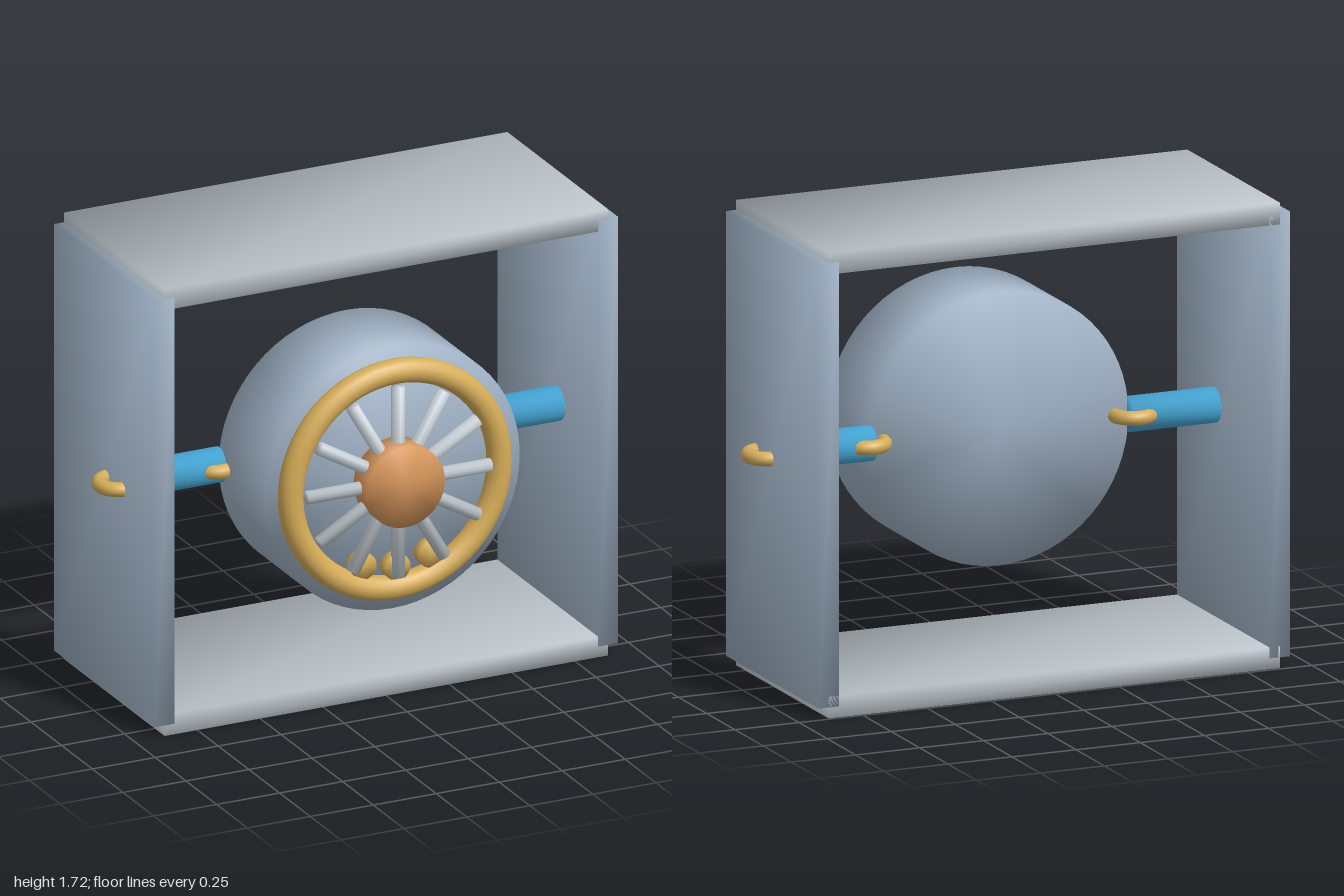
import * as THREE from 'three';
import { toCreasedNormals } from 'three/addons/utils/BufferGeometryUtils.js';

const paint = (name, color) => {
  const m = new THREE.MeshStandardMaterial({ color });
  m.name = name;
  return m;
};

export function createModel() {
  const steel = paint('blue grey steel', 0x9fb1c4);
  const silver = paint('pale silver', 0xc3ccd2);
  const brass = paint('brass', 0xd6ad58);
  const copper = paint('copper', 0xd6965c);
  const blue = paint('bright blue', 0x45a6d6);

  const model = new THREE.Group();
  const CY = 0.865;

  const add = (name, geometry, material, x, y, z, parent = model) => {
    const mesh = new THREE.Mesh(geometry, material);
    mesh.name = name;
    mesh.position.set(x, y, z);
    parent.add(mesh);
    return mesh;
  };
  // Normals shared across every edge give the soft shading of the solid parts
  const soft = (g) => toCreasedNormals(g, Math.PI);
  const disc = (r, depth, sides) =>
    soft(new THREE.CylinderGeometry(r, r, depth, sides).rotateX(Math.PI / 2));

  // Square frame, open at front and back
  const flat = soft(new THREE.BoxGeometry(1.76, 0.08, 0.82));
  const upright = soft(new THREE.BoxGeometry(0.08, 1.64, 0.82));
  add('topPanel', flat, silver, 0, 1.682, -0.08);
  add('bottomPanel', flat, silver, 0, 0.045, -0.08);
  add('leftPanel', upright, steel, 0.88, CY, -0.08);
  add('rightPanel', upright, steel, -0.88, CY, -0.08);

  // Drum carried in the middle of the frame
  add('drum', disc(0.505, 0.38, 64), steel, 0, CY, 0.19);

  // Axle rods with a ring at each end
  const rod = soft(new THREE.CylinderGeometry(0.065, 0.065, 0.38, 24).rotateZ(Math.PI / 2));
  const ring = new THREE.TorusGeometry(0.068, 0.027, 12, 32).rotateX(Math.PI / 2);
  for (const [side, s] of [['left', 1], ['right', -1]]) {
    add(side + 'Rod', rod, blue, s * 0.69, CY, 0);
    add(side + 'InnerRing', ring, brass, s * 0.52, CY, 0);
    add(side + 'OuterRing', ring, brass, s * 0.905, CY, 0);
  }

  // Spoked wheel on the drum face
  const wheel = new THREE.Group();
  wheel.name = 'spokedWheel';
  wheel.position.y = CY;
  model.add(wheel);
  add('rim', new THREE.TorusGeometry(0.414, 0.046, 16, 64), brass, 0, 0, 0.4, wheel);
  add('hub', disc(0.155, 0.11, 40), copper, 0, 0, 0.435, wheel);
  const spoke = soft(new THREE.CylinderGeometry(0.025, 0.025, 0.73, 12));
  for (let i = 0; i < 6; i++) {
    add('spoke', spoke, silver, 0, 0, 0.427, wheel).rotation.z = (i * Math.PI) / 6;
  }

  // Three small knobs at the foot of the wheel
  const knob = disc(0.05, 0.05, 24);
  for (const a of [-0.4, 0, 0.4]) {
    add('knob', knob, brass, Math.sin(a) * 0.345, -Math.cos(a) * 0.333, 0.4, wheel);
  }
  return model;
}
